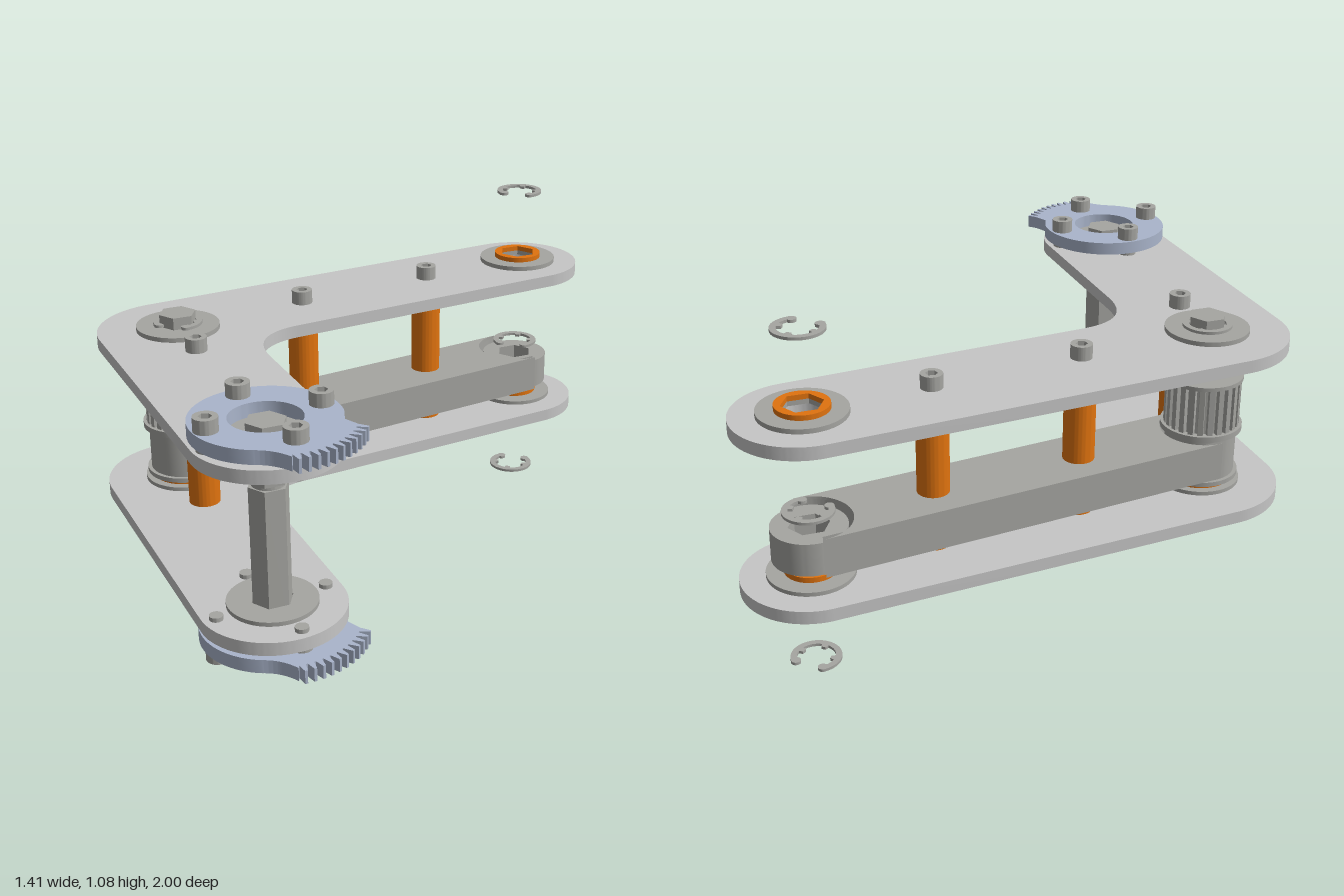
import * as THREE from 'three';
import { toCreasedNormals } from 'three/addons/utils/BufferGeometryUtils.js';

const material = (name, color) => new THREE.MeshStandardMaterial({ name, color });
const D = Math.PI / 180;
// Joint centres as [x, z]
const A = [-0.315, -0.79], B = [-0.455, 0.545], C = [0.415, 0.78];

// Shapes are drawn in plan, with shape y pointing to the back (-z)
const points = (list) => new THREE.Shape(list.map(([x, y]) => new THREE.Vector2(x, y)));
function circle(r, x = 0, y = 0) {
  return new THREE.Shape().absarc(x, y, r, 0, Math.PI * 2, false);
}
function polygon(n, r, turn = 0) {
  return points(Array.from({ length: n }, (_, i) => {
    const a = turn + (i / n) * Math.PI * 2;
    return [r * Math.cos(a), r * Math.sin(a)];
  }));
}
function withHoles(shape, ...holes) {
  shape.holes.push(...holes);
  return shape;
}

function armShape() {
  const s = new THREE.Shape();
  s.absarc(A[0], -A[1], 0.211, -7.8 * D, 172.2 * D, false);
  s.absarc(B[0], -B[1], 0.257, 172.2 * D, 257.4 * D, false);
  s.absarc(C[0], -C[1], 0.216, 257.4 * D, 437.9 * D, false);
  s.lineTo(-0.06, -0.45);
  s.quadraticCurveTo(-0.264, -0.406, -0.237, -0.22);
  s.closePath();
  return withHoles(s, circle(0.07, A[0], -A[1]));
}

// Round plate with a toothed sector on its right side
function gearShape() {
  const s = new THREE.Shape();
  s.absarc(0, 0, 0.214, 62 * D, 318 * D, false);
  s.quadraticCurveTo(0.19, -0.1, 0.252, -0.086);
  const teeth = 11, from = -18, step = 60 / teeth;
  for (let i = 0; i < teeth; i++) {
    for (const [f, r] of [[0.05, 0.255], [0.3, 0.286], [0.6, 0.286], [0.85, 0.255]]) {
      const a = (from + (i + f) * step) * D;
      s.lineTo(r * Math.cos(a), r * Math.sin(a));
    }
  }
  s.lineTo(0.214 * Math.cos(48 * D), 0.214 * Math.sin(48 * D));
  s.closePath();
  return withHoles(s, circle(0.105));
}

function pulleyShape(n, outer, inner) {
  const list = [];
  for (let i = 0; i < n; i++) {
    for (const [f, r] of [[0, outer], [0.55, outer], [0.65, inner], [0.9, inner]]) {
      const a = ((i + f) / n) * Math.PI * 2;
      list.push([r * Math.cos(a), r * Math.sin(a)]);
    }
  }
  return points(list);
}

// Loop around joints A and B
function loopPath(r) {
  const dx = B[0] - A[0], dy = A[1] - B[1];
  const a = Math.atan2(dy, dx) + Math.PI / 2;
  const s = new THREE.Shape();
  s.absarc(A[0], -A[1], r, a - Math.PI, a, false);
  s.absarc(B[0], -B[1], r, a, a + Math.PI, false);
  s.closePath();
  return s;
}

export function createModel() {
  const model = new THREE.Group();
  model.name = 'beltArm';
  const plate = material('lightGrey', 0xc6c6c6);
  const steel = material('steelGrey', 0xa5a5a1);
  const orange = material('orange', 0xe0730f);
  const blue = material('blueGrey', 0xaab5cb);

  function slab(name, shape, y0, y1, mat, [x, z] = [0, 0]) {
    let geo = new THREE.ExtrudeGeometry(shape, { depth: y1 - y0, bevelEnabled: false, curveSegments: 40 });
    geo.rotateX(-Math.PI / 2);
    geo = toCreasedNormals(geo, 0.35);
    const mesh = new THREE.Mesh(geo, mat);
    mesh.name = name;
    mesh.position.set(x, y0, z);
    model.add(mesh);
    return mesh;
  }
  // Same part on the upper and lower arm, heights measured outwards from y = 0.543
  function pair(name, shape, h0, h1, mat, at) {
    slab(name + 'Upper', shape(), 0.543 + h0, 0.543 + h1, mat, at);
    slab(name + 'Lower', shape(), 0.543 - h1, 0.543 - h0, mat, at);
  }

  function retainingClip(name, y, at, turn) {
    const s = new THREE.Shape();
    s.absarc(0, 0, 0.078, 45 * D, 315 * D, false);
    s.absarc(0, 0, 0.059, 315 * D, 45 * D, true);
    s.closePath();
    const parts = [s];
    for (const e of [-45, 45]) parts.push(circle(0.015, 0.064 * Math.cos(e * D), 0.064 * Math.sin(e * D)));
    for (const t of [100, 180, 260]) {
      const p = (r, d) => [r * Math.cos((t + d) * D), r * Math.sin((t + d) * D)];
      parts.push(points([p(0.062, -11), p(0.062, 11), p(0.046, 9), p(0.046, -9)]));
    }
    slab(name, parts, y, y + 0.009, steel, at).rotation.y = turn;
  }

  function socketBolt(name, x, z, y0, y1, r, up) {
    const floor = up ? y0 : y1 - 0.015;
    slab(name, withHoles(circle(r), polygon(6, r * 0.55)), y0, y1, steel, [x, z]);
    slab(name + 'SocketFloor', circle(r * 0.9), floor, floor + 0.015, steel, [x, z]);
  }

  // Arms
  pair('armPlate', armShape, 0.239, 0.28, plate);

  // Bearings at the three joints
  const hexRing = (r) => () => withHoles(circle(r), polygon(6, 0.063, 0.3));
  for (const [name, at, r] of [['rear', A, 0.133], ['corner', B, 0.133], ['front', C, 0.105]]) {
    pair(name + 'BearingOuter', hexRing(r), 0.28, 0.295, steel, at);
    pair(name + 'BearingInner', hexRing(0.133), 0.226, 0.239, steel, at);
  }
  pair('rearBush', hexRing(0.081), 0.295, 0.311, orange, A);
  slab('rearSpacer', hexRing(0.081)(), 0.317, 0.334, orange, A);

  // Standoffs with their bolts
  for (const [x, z] of [[-0.36, -0.4], [-0.415, 0.09], [-0.25, 0.6]]) {
    slab('standoff', circle(0.05), 0.304, 0.782, orange, [x, z]);
    socketBolt('standoffBoltUpper', x, z, 0.823, 0.868, 0.034, true);
    socketBolt('standoffBoltLower', x, z, 0.218, 0.263, 0.034, false);
  }

  // Hexagonal shafts with grooves for clips
  for (const [name, at, y0, y1] of [['corner', B, 0.21, 0.876], ['front', C, 0.215, 0.871]]) {
    const hex = () => polygon(6, 0.06, 0.3);
    slab(name + 'Shaft', hex(), y0, 0.68, steel, at);
    slab(name + 'ShaftGroove', circle(0.048), 0.68, 0.692, steel, at);
    slab(name + 'ShaftTop', hex(), 0.692, y1, steel, at);
    retainingClip(name + 'ClipUpper', 0.84, at, -0.9);
    retainingClip(name + 'ClipLower', 0.237, at, 2.2);
  }

  // Corner pulley stack
  slab('pulleySpacer', circle(0.108), 0.317, 0.331, orange, B);
  slab('pulleyFlangeBottom', circle(0.126), 0.331, 0.346, steel, B);
  slab('beltPulley', circle(0.114), 0.346, 0.49, steel, B);
  slab('pulleyFlangeMiddle', circle(0.131), 0.492, 0.511, steel, B);
  slab('toothedPulley', pulleyShape(24, 0.121, 0.106), 0.511, 0.667, steel, B);
  slab('pulleyFlangeTop', circle(0.126), 0.667, 0.68, steel, B);

  // Belt and rear pulley
  slab('belt', withHoles(loopPath(0.131), loopPath(0.115)), 0.358, 0.484, steel);
  slab('rearPulley', hexRing(0.115)(), 0.36, 0.465, steel, A);

  // Loose clips along the rear axis
  retainingClip('rearClipTop', 1.075, A, -0.95);
  retainingClip('rearClipMiddle', 0.506, A, -0.95);
  retainingClip('rearClipBottom', 0.001, A, 2.2);

  // Gear sectors and their bolts
  pair('gearSector', gearShape, 0.295, 0.337, blue, C);
  for (const [x, z] of [[0.435, 0.61], [0.245, 0.76], [0.59, 0.8], [0.395, 0.955]]) {
    socketBolt('gearBoltUpper', x, z, 0.88, 0.922, 0.035, true);
    socketBolt('gearBoltLower', x, z, 0.176, 0.206, 0.035, false);
    pair('gearBoltSpacer', () => circle(0.03), 0.28, 0.295, steel, [x, z]);
    pair('gearBoltTip', () => circle(0.02), 0.226, 0.239, steel, [x, z]);
  }
  return model;
}
